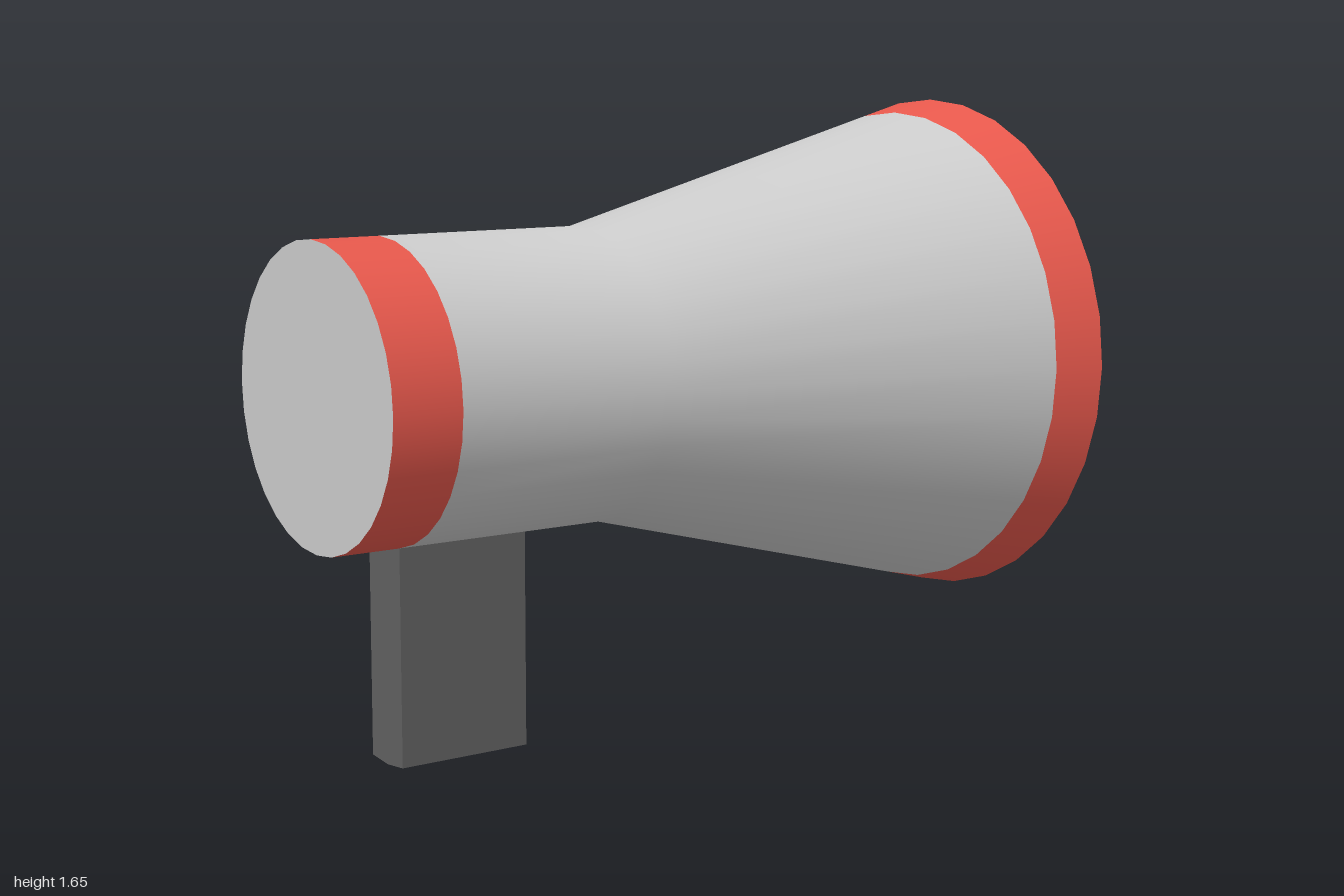
import * as THREE from 'three';

const SIDES = 32;
const AXIS_Y = 0.955;

const grey = new THREE.MeshStandardMaterial({ color: 0xcccccc });
const red = new THREE.MeshStandardMaterial({ color: 0xe7584c });
const dark = new THREE.MeshStandardMaterial({ color: 0x606060 });

// Surface of revolution about the horn's axis; points are [x along axis, radius].
function revolve(name, material, points) {
  const profile = points.map(([x, r]) => new THREE.Vector2(r, x));
  const geometry = new THREE.LatheGeometry(profile, SIDES);
  geometry.rotateZ(-Math.PI / 2);
  const mesh = new THREE.Mesh(geometry, material);
  mesh.name = name;
  return mesh;
}

export function createModel() {
  const model = new THREE.Group();
  model.name = 'megaphone';

  const horn = new THREE.Group();
  horn.name = 'horn';
  horn.position.y = AXIS_Y;
  model.add(horn);

  // Outer shell: straight barrel opening into a flared bell
  const bandRadius = 0.39 + 0.31 * (0.865 + 0.2) / 1.2;
  horn.add(
    revolve('rearCap', grey, [[-1, 0], [-1, 0.39]]),
    revolve('rearBand', red, [[-1, 0.39], [-0.81, 0.39]]),
    revolve('shell', grey, [[-0.81, 0.39], [-0.2, 0.39], [0.865, bandRadius]]),
    revolve('mouthBand', red, [[0.865, bandRadius], [1, 0.7]]),
    revolve('mouthRim', red, [[1, 0.7], [1, 0.63]])
  );

  // Inside of the bell, with the tapered core rising from its throat
  horn.add(
    revolve('bellInterior', grey, [[1, 0.63], [-0.2, 0.245]]),
    revolve('core', grey, [[-0.2, 0.245], [0.73, 0.17]]),
    revolve('coreFace', grey, [[0.73, 0.17], [0.73, 0]])
  );

  // Grip, with a shallow V underside that follows the barrel's facets
  const w = 0.076;
  const section = new THREE.Shape([
    new THREE.Vector2(0, 0),
    new THREE.Vector2(w, 0.0075),
    new THREE.Vector2(w, 0.58),
    new THREE.Vector2(-w, 0.58),
    new THREE.Vector2(-w, 0.0075),
  ]);
  const gripGeometry = new THREE.ExtrudeGeometry(section, { depth: 0.37, bevelEnabled: false });
  gripGeometry.rotateY(Math.PI / 2);
  const grip = new THREE.Mesh(gripGeometry, dark);
  grip.name = 'grip';
  grip.position.x = -0.81;
  model.add(grip);

  return model;
}
